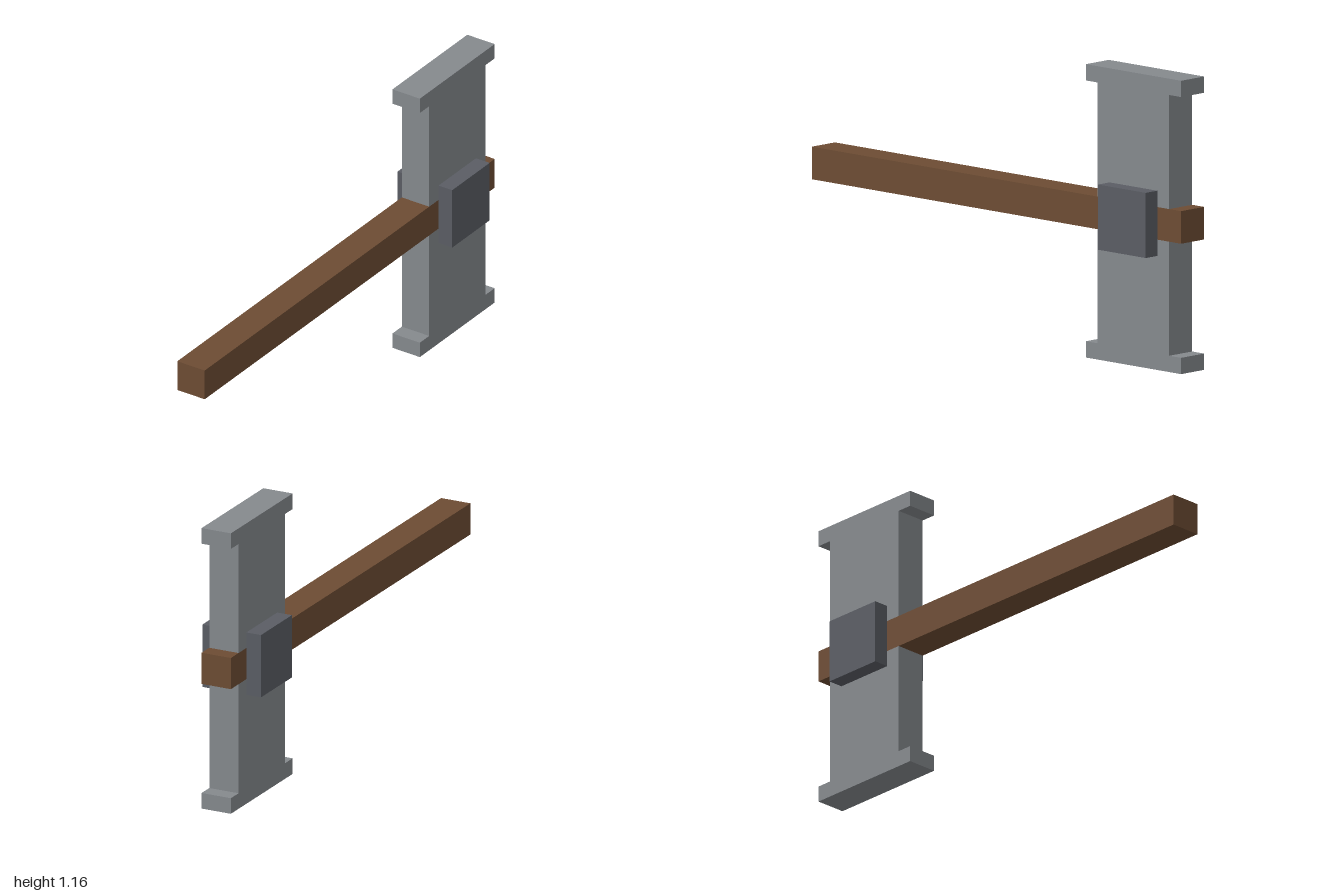
import * as THREE from 'three';

// All parts sit on a grid of 31 units along the handle
const U = 2 / 31;

function material(name, color) {
  const m = new THREE.MeshStandardMaterial({ color });
  m.name = name;
  return m;
}

export function createModel() {
  const steel = material('lightSteel', 0x85898d);
  const iron = material('darkIron', 0x5a5d64);
  const wood = material('brownWood', 0x6d4c33);

  const hammer = new THREE.Group();
  hammer.name = 'hammer';

  // Box from grid ranges; z is counted in units from the back end
  function box(name, mat, [x0, x1], [y0, y1], [z0, z1], parent = hammer) {
    const geo = new THREE.BoxGeometry((x1 - x0) * U, (y1 - y0) * U, (z1 - z0) * U);
    const mesh = new THREE.Mesh(geo, mat);
    mesh.position.set((x0 + x1) / 2 * U, (y0 + y1) / 2 * U, (z0 + z1) / 2 * U - 1);
    mesh.name = name;
    parent.add(mesh);
  }

  // Handle runs right through the head
  box('handle', wood, [-1, 1], [8, 10], [0, 31]);

  // Head: a web above and below the handle, with a wider striking face at each end
  const head = new THREE.Group();
  head.name = 'head';
  hammer.add(head);
  box('lowerFace', steel, [-1, 1], [0, 1], [0, 8], head);
  box('lowerWeb', steel, [-1, 1], [1, 8], [1, 7], head);
  box('upperWeb', steel, [-1, 1], [10, 17], [1, 7], head);
  box('upperFace', steel, [-1, 1], [17, 18], [0, 8], head);

  // Binding plates on both sides of the joint
  box('leftPlate', iron, [1, 2], [7, 11], [2, 6]);
  box('rightPlate', iron, [-2, -1], [7, 11], [2, 6]);

  return hammer;
}
